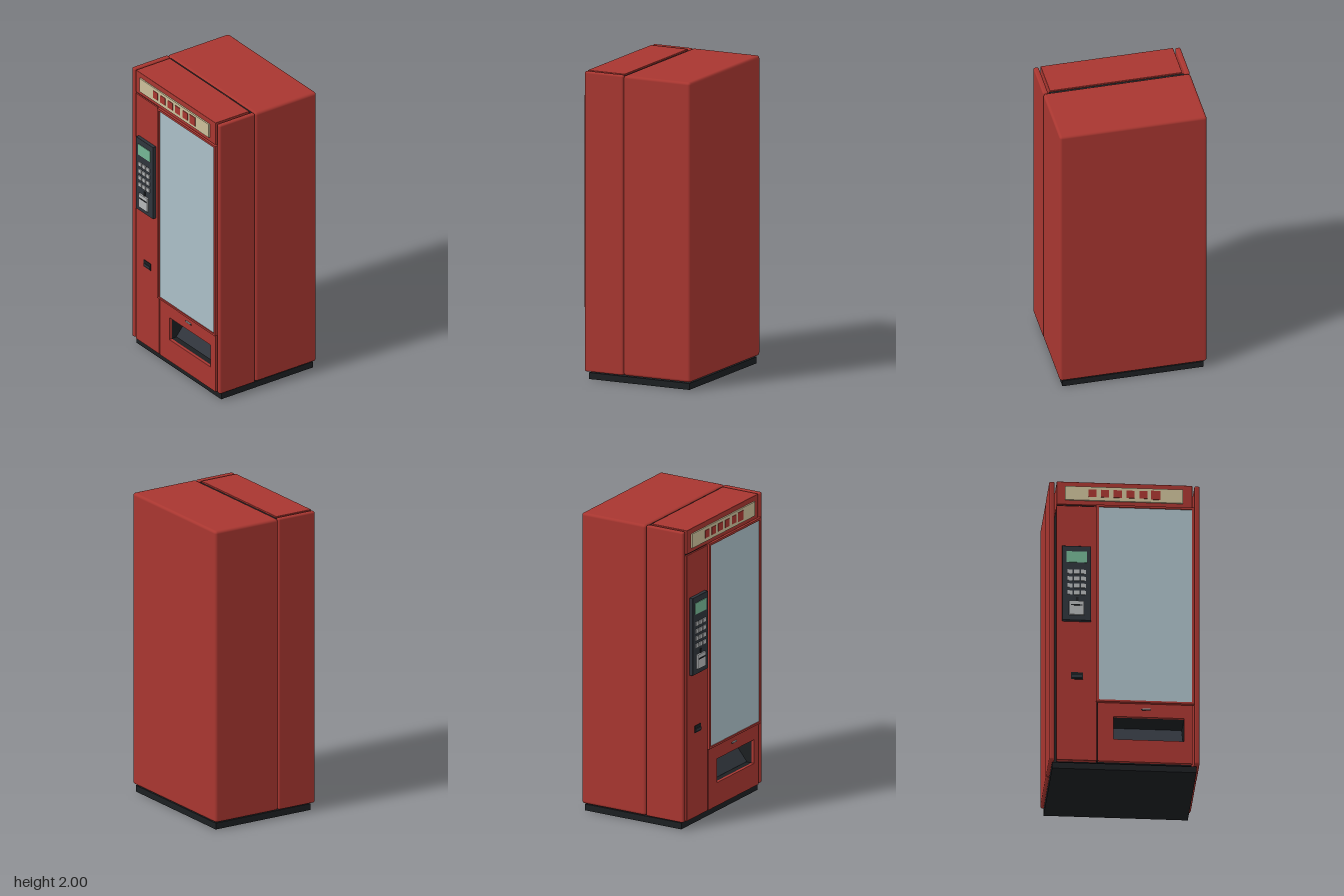
import * as THREE from 'three';
import { RoundedBoxGeometry } from 'three/addons/geometries/RoundedBoxGeometry.js';

const mat = (color) => new THREE.MeshStandardMaterial({ color });
const red = mat(0xa83630), dark = mat(0x1c1f22), slate = mat(0x2f343b);
const cream = mat(0xcbbf99), green = mat(0x74b594), silver = mat(0xb4b6b8), glassMat = mat(0xabbfc7);

export function createModel() {
  const model = new THREE.Group();
  model.name = 'vendingMachine';

  const add = (name, geometry, material) => {
    const mesh = new THREE.Mesh(geometry, material);
    mesh.name = name;
    model.add(mesh);
    return mesh;
  };
  // Box given by its limits; a radius rounds the edges
  const box = (name, material, [x0, x1], [y0, y1], [z0, z1], radius = 0) => {
    const size = [x1 - x0, y1 - y0, z1 - z0];
    const geometry = radius ? new RoundedBoxGeometry(...size, 2, radius) : new THREE.BoxGeometry(...size);
    geometry.translate((x0 + x1) / 2, (y0 + y1) / 2, (z0 + z1) / 2);
    return add(name, geometry, material);
  };
  const path = (Type, x0, x1, y0, y1) => {
    const p = new Type();
    p.moveTo(x0, y0);
    p.lineTo(x1, y0);
    p.lineTo(x1, y1);
    p.lineTo(x0, y1);
    p.closePath();
    return p;
  };
  // Rectangular panel with a rectangular opening
  const framed = (name, material, outer, inner, z0, z1) => {
    const shape = path(THREE.Shape, ...outer);
    shape.holes.push(path(THREE.Path, ...inner));
    const geometry = new THREE.ExtrudeGeometry(shape, { depth: z1 - z0, bevelEnabled: false });
    geometry.translate(0, 0, z0);
    return add(name, geometry, material);
  };

  // Plinth, rear cabinet and side cheeks
  box('plinth', dark, [-0.46, 0.46], [0, 0.042], [-0.385, 0.335]);
  box('rearCabinet', red, [-0.48, 0.48], [0.05, 2], [-0.4, 0.08], 0.018);
  for (const [name, s] of [['leftCheek', 1], ['rightCheek', -1]]) {
    box(name, red, s > 0 ? [0.445, 0.48] : [-0.48, -0.445], [0.05, 2], [0.081, 0.36], 0.012);
  }
  box('cabinetSeam', dark, [-0.44, 0.44], [0.05, 1.99], [0.078, 0.094]);

  // Door core, leaving room for the pickup bin
  box('doorCoreUpper', dark, [-0.43, 0.43], [0.46, 1.84], [0.094, 0.35]);
  box('doorCoreSide', dark, [-0.43, -0.175], [0.052, 0.46], [0.094, 0.35]);

  // Front panels separated by narrow seams
  box('headerPanel', red, [-0.432, 0.432], [1.84, 2], [0.094, 0.36], 0.004);
  box('controlPanel', red, [-0.434, -0.179], [0.05, 1.832], [0.33, 0.36], 0.003);
  const bin = [-0.07, 0.38, 0.205, 0.365];
  framed('lowerPanel', red, [-0.171, 0.434, 0.05, 0.458], bin, 0.34, 0.36);

  // Pickup bin: lined tunnel with a sloping back flap
  framed('binLining', dark, [-0.171, 0.43, 0.052, 0.458], bin, 0.094, 0.34);
  box('binBack', dark, [-0.07, 0.38], [0.205, 0.365], [0.09, 0.12]);
  const flap = add('binFlap', new THREE.BoxGeometry(0.446, 0.2, 0.008), slate);
  flap.position.set(0.155, 0.284, 0.24);
  flap.rotation.x = -0.68;

  // Display window and its raised frame
  framed('windowFrame', red, [-0.182, 0.445, 0.462, 1.84], [-0.165, 0.43, 0.475, 1.826], 0.345, 0.374);
  box('windowGlass', glassMat, [-0.165, 0.43], [0.475, 1.826], [0.35, 0.366]);

  // Header sign with a row of squares
  box('sign', cream, [-0.38, 0.372], [1.87, 1.965], [0.36, 0.37]);
  [-0.205, -0.125, -0.044, 0.037, 0.12, 0.198].forEach((x, i) => {
    const h = i === 5 ? 0.031 : 0.026;
    box('signSquare', red, [x - h, x + h], [1.919 - h, 1.919 + h], [0.369, 0.373]);
  });

  // Payment unit: screen, keys and card reader
  box('paymentPlate', slate, [-0.4, -0.215], [1.02, 1.54], [0.358, 0.384], 0.003);
  box('screen', green, [-0.372, -0.242], [1.424, 1.5], [0.38, 0.388]);
  for (let row = 0; row < 4; row++) {
    for (let col = 0; col < 3; col++) {
      const x = -0.35 + col * 0.043, y = 1.358 - row * 0.049;
      box('key', silver, [x - 0.017, x + 0.017], [y - 0.014, y + 0.014], [0.38, 0.39]);
    }
  }
  box('readerNotch', dark, [-0.311, -0.297], [1.15, 1.18], [0.38, 0.388]);
  box('cardReader', silver, [-0.355, -0.26], [1.055, 1.15], [0.38, 0.396]);
  box('cardSlot', dark, [-0.345, -0.27], [1.118, 1.125], [0.394, 0.399]);

  // Coin return and door lock
  box('coinReturn', dark, [-0.342, -0.266], [0.616, 0.664], [0.355, 0.364]);
  box('coinFlap', slate, [-0.336, -0.272], [0.624, 0.642], [0.362, 0.369]);
  box('lockRecess', dark, [0.105, 0.17], [0.414, 0.422], [0.355, 0.362]);
  box('lockHandle', silver, [0.115, 0.165], [0.417, 0.425], [0.358, 0.366]);

  return model;
}
